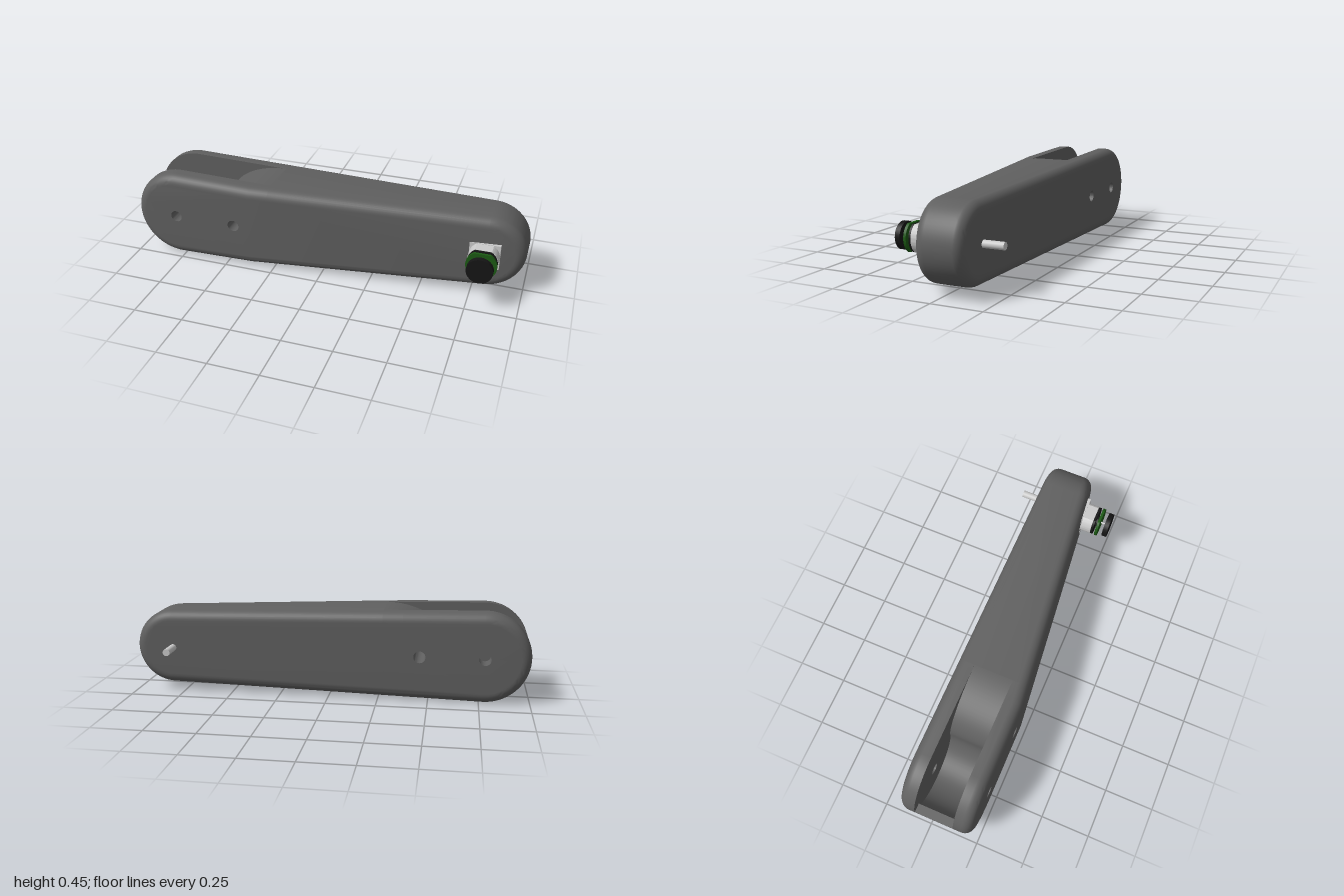
import * as THREE from 'three';
import { mergeGeometries, toCreasedNormals } from 'three/addons/utils/BufferGeometryUtils.js';

const Y = 0.2275;                       // height of the centre line
const BIG = { x: -0.7725, r: 0.2275 };  // hinge end
const SMALL = { x: 0.81, r: 0.19 };     // motor end
const BACK = -0.15, FRONT = 0.225, ROUND = 0.05;
const CREASE = -0.37;                   // where the front face starts to slope
const SLOT = [-0.065, 0.135];           // slot side walls
const HOLES = [-0.775, -0.455], HOLE_R = 0.03;

const frontZ = (x) => FRONT - Math.max(0, x - CREASE) * 0.106;

// Outline of a tapered capsule, counter-clockwise, as points on circles
const tilt = Math.acos((BIG.r - SMALL.r) / (SMALL.x - BIG.x));
const outline = [];
function arc(end, from, to, n) {
  for (let i = 0; i <= n; i++) outline.push({ x: end.x, r: end.r, a: from + (to - from) * i / n });
}
function between(x, a) {
  const cx = x - 0.005, t = (cx - BIG.x) / (SMALL.x - BIG.x);
  outline.push({ x: cx, r: BIG.r + (SMALL.r - BIG.r) * t, a });
}
arc(SMALL, -tilt, tilt, 32);
const slotStart = outline.length;
between(-0.27, tilt);
const creaseTop = outline.length;
between(CREASE, tilt);
const bigStart = outline.length;
arc(BIG, tilt, 2 * Math.PI - tilt, 40);
const slotEnd = bigStart + 20;
const creaseBottom = outline.length;
between(CREASE, -tilt);
outline.push(outline[0]);

const at = (p, inset = 0) =>
  new THREE.Vector2(p.x + (p.r - inset) * Math.cos(p.a), Y + (p.r - inset) * Math.sin(p.a));
const ring = (inset, z) => outline.map((p) => {
  const v = at(p, inset);
  return new THREE.Vector3(v.x, v.y, z(v.x));
});

// Strip of quads between two rows of points
function strip(a, b) {
  const pos = [];
  for (let i = 0; i < a.length - 1; i++) {
    for (const v of [a[i], a[i + 1], b[i + 1], a[i], b[i + 1], b[i]]) pos.push(v.x, v.y, v.z);
  }
  const g = new THREE.BufferGeometry();
  g.setAttribute('position', new THREE.Float32BufferAttribute(pos, 3));
  return g;
}

// Face filling a polygon, with pin holes, laid on z = zOf(x)
function face(points, holes, zOf, flip = false) {
  const shape = new THREE.Shape(points);
  for (const hx of holes) {
    const pts = [];
    for (let i = 0; i < 24; i++) {
      const a = -i / 24 * Math.PI * 2;
      pts.push(new THREE.Vector2(hx + HOLE_R * Math.cos(a), Y + HOLE_R * Math.sin(a)));
    }
    shape.holes.push(new THREE.Path(pts));
  }
  const g = new THREE.ShapeGeometry(shape).toNonIndexed();
  g.deleteAttribute('uv');
  g.deleteAttribute('normal');
  const p = g.attributes.position;
  for (let i = 0; i < p.count; i++) p.setZ(i, zOf(p.getX(i)));
  if (flip) {
    for (let i = 0; i < p.count; i += 3) {
      const b = new THREE.Vector3().fromBufferAttribute(p, i + 1);
      p.setXYZ(i + 1, p.getX(i + 2), p.getY(i + 2), p.getZ(i + 2));
      p.setXYZ(i + 2, b.x, b.y, b.z);
    }
  }
  return g;
}

function bodyGeometry() {
  const parts = [];
  // Rounded rims, back and front
  const steps = 8, back = [], front = [];
  for (let k = 0; k <= steps; k++) {
    const a = k / steps * Math.PI / 2;
    const inset = ROUND * (1 - Math.sin(a)), depth = ROUND * (1 - Math.cos(a));
    back.push(ring(inset, () => BACK + depth));
    front.push(ring(inset, (x) => frontZ(x) - depth));
  }
  for (let k = 0; k < steps; k++) {
    parts.push(strip(back[k], back[k + 1]), strip(front[k + 1], front[k]));
  }
  // Side wall, interrupted by the slot
  const b = back[steps], f = front[steps];
  parts.push(strip(b.slice(0, slotStart + 1), f.slice(0, slotStart + 1)));
  parts.push(strip(b.slice(slotEnd), f.slice(slotEnd)));
  const bs = b.slice(slotStart, slotEnd + 1), fs = f.slice(slotStart, slotEnd + 1);
  const level = (pts, z) => pts.map((p) => new THREE.Vector3(p.x, p.y, z));
  parts.push(strip(bs, level(bs, SLOT[0])), strip(level(fs, SLOT[1]), fs));

  // Slot floor: end lip, round pocket, then a convex ramp up to the top
  const top = at(outline[slotStart]), floor = [at(outline[slotEnd])];
  const pocket = 0.183, ramp = top.x - (BIG.x + pocket);
  for (let i = 0; i <= 24; i++) {
    const a = Math.PI * (1 + i / 24);
    floor.push(new THREE.Vector2(BIG.x + pocket * Math.cos(a), Y + pocket * Math.sin(a)));
  }
  for (let i = 1; i <= 20; i++) {
    const a = i / 20 * Math.PI / 2;
    floor.push(new THREE.Vector2(top.x - ramp * Math.cos(a), Y + (top.y - Y) * Math.sin(a)));
  }
  const down = floor.slice().reverse();
  parts.push(strip(level(down, SLOT[0]), level(down, SLOT[1])));

  // Slot walls
  const wall = outline.slice(slotStart, slotEnd + 1).map((p) => at(p)).concat(floor.slice(1, -1));
  parts.push(face(wall, [HOLES[0]], () => SLOT[0]));
  parts.push(face(wall, [HOLES[0]], () => SLOT[1], true));

  // Flat back, and front face in a level and a sloping piece
  const flat = outline.slice(0, -1).map((p) => at(p, ROUND));
  parts.push(face(flat, HOLES, () => BACK, true));
  parts.push(face(flat.slice(creaseTop, creaseBottom + 1), HOLES, frontZ));
  parts.push(face([...flat.slice(creaseBottom), ...flat.slice(0, creaseTop + 1)], [], frontZ));

  // Pin hole linings
  for (const [x, z0, z1] of [[HOLES[0], BACK, SLOT[0]], [HOLES[0], SLOT[1], FRONT], [HOLES[1], BACK, FRONT]]) {
    const circle = (z) => Array.from({ length: 25 }, (_, i) => {
      const a = -i / 24 * Math.PI * 2;
      return new THREE.Vector3(x + HOLE_R * Math.cos(a), Y + HOLE_R * Math.sin(a), z);
    });
    parts.push(strip(circle(z0), circle(z1)));
  }
  return toCreasedNormals(mergeGeometries(parts), 0.5);
}

export function createModel() {
  const group = new THREE.Group();
  const mat = (color) => new THREE.MeshStandardMaterial({ color });
  const grey = mat(0xcccccc), black = mat(0x151515), green = mat(0x1c5a14);
  const add = (name, geometry, material, z = 0) => {
    const m = new THREE.Mesh(geometry, material);
    m.name = name;
    m.position.set(SMALL.x - 0.005, Y, z);
    group.add(m);
    return m;
  };

  const shell = new THREE.MeshStandardMaterial({ color: 0x606060, side: THREE.DoubleSide });
  const body = add('armBody', bodyGeometry(), shell);
  body.position.set(0, 0, 0);

  // Round discs and rods along z, and discs with flat top and bottom
  const rod = (name, r, z0, z1, m) =>
    add(name, new THREE.CylinderGeometry(r, r, z1 - z0, 32).rotateX(Math.PI / 2), m, (z0 + z1) / 2);
  const flatted = (name, r, half, z0, z1, m) => {
    const s = new THREE.Shape(), a = Math.asin(half / r);
    s.absarc(0, 0, r, -a, a, false);
    s.absarc(0, 0, r, Math.PI - a, Math.PI + a, false);
    const g = new THREE.ExtrudeGeometry(s, { depth: z1 - z0, bevelEnabled: false, curveSegments: 12 });
    add(name, toCreasedNormals(g, 0.5), m, z0);
  };

  add('gearbox', new THREE.BoxGeometry(0.15, 0.13, 0.16), grey, 0.03);
  flatted('motorCan', 0.075, 0.063, 0.1, 0.167, grey);
  flatted('motorEndCap', 0.073, 0.062, 0.167, 0.179, black);
  rod('endCapBoss', 0.031, 0.179, 0.191, black);
  flatted('circuitBoard', 0.075, 0.064, 0.191, 0.204, green);
  rod('rearShaft', 0.005, 0.204, 0.232, grey);
  rod('encoderDisc', 0.064, 0.23, 0.255, black);
  rod('outputShaft', 0.018, -0.253, -0.05, grey);
  return group;
}
